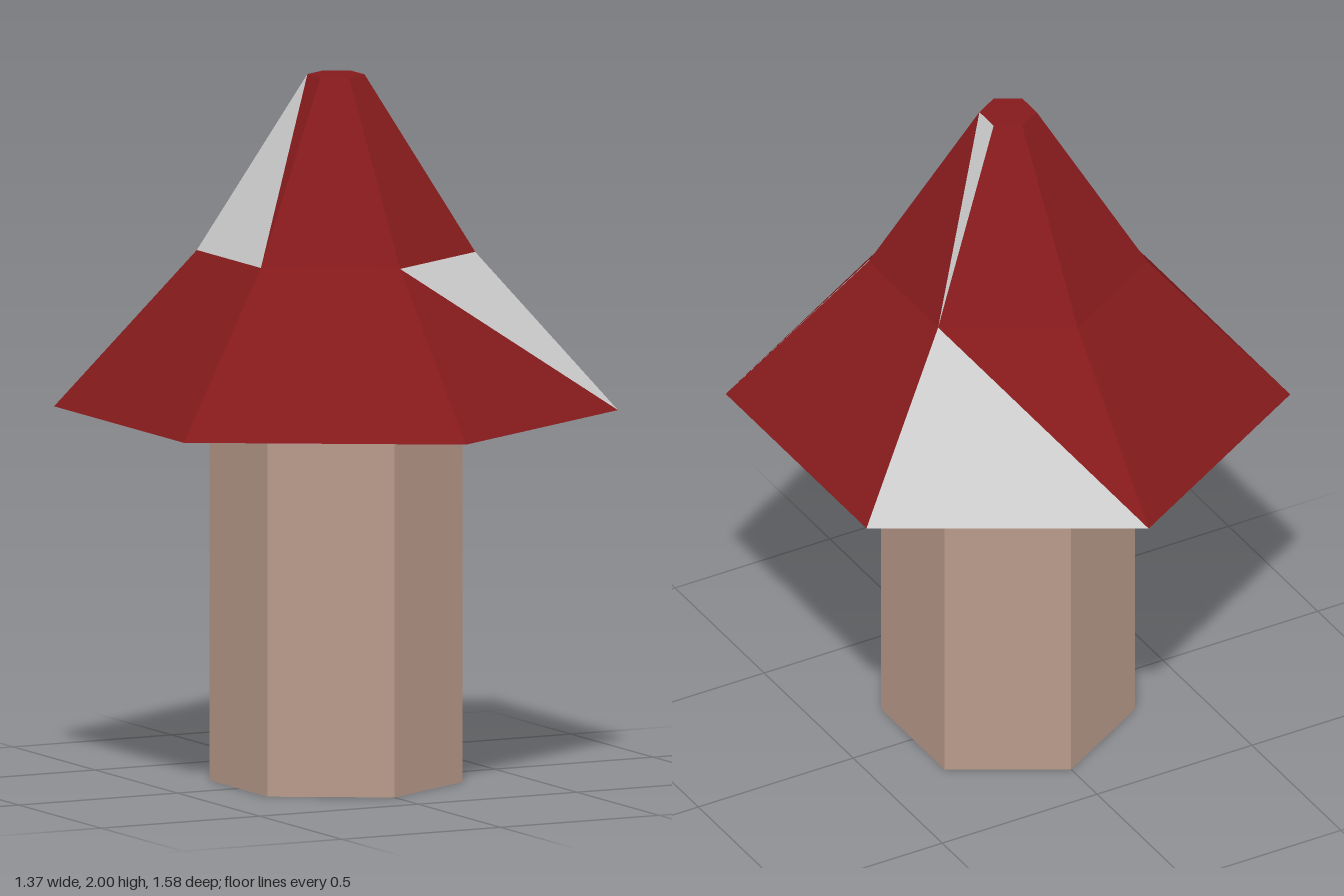
import * as THREE from 'three';

const SIDES = 6;
const material = (color) => new THREE.MeshStandardMaterial({ color, flatShading: true });

// Corner i of a horizontal hexagon, counted from +z towards +x
function corner([r, y], i) {
  const a = (i * Math.PI * 2) / SIDES;
  return new THREE.Vector3(r * Math.sin(a), y, r * Math.cos(a));
}

// Mesh from a list of triangles
function facets(name, triangles, mat) {
  const geometry = new THREE.BufferGeometry().setFromPoints(triangles.flat());
  geometry.computeVertexNormals();
  const mesh = new THREE.Mesh(geometry, mat);
  mesh.name = name;
  return mesh;
}

export function createModel() {
  const group = new THREE.Group();
  group.name = 'mushroom';
  const red = material(0x851a1c);
  const brown = material(0xb89a8a);
  const grey = material(0xcccccc);

  // Cap profile as [radius, height]: rim, shoulder, tip
  const rings = [[0.79, 1.055], [0.39, 1.5], [0.08, 2]];
  // Facet halves that are pale patches: band, side, half
  const patches = ['0 0 upper', '0 2 lower', '1 1 upper', '1 4 lower'];

  const capTriangles = [];
  const patchTriangles = [];
  for (let band = 0; band < 2; band++) {
    for (let i = 0; i < SIDES; i++) {
      const a = corner(rings[band], i), b = corner(rings[band], i + 1);
      const c = corner(rings[band + 1], i + 1), d = corner(rings[band + 1], i);
      const halves = { lower: [a, b, d], upper: [b, c, d] };
      for (const half in halves) {
        const isPatch = patches.includes(`${band} ${i} ${half}`);
        (isPatch ? patchTriangles : capTriangles).push(halves[half]);
      }
    }
  }
  // Flat tip
  for (let i = 0; i < SIDES; i++) {
    capTriangles.push([corner(rings[2], i), corner(rings[2], i + 1), new THREE.Vector3(0, 2, 0)]);
  }
  group.add(facets('cap', capTriangles, red));
  group.add(facets('capPatches', patchTriangles, grey));

  // Hollow underside, rising from the rim to the stem
  const gillTriangles = [];
  const inner = [0.355, 1.25];
  for (let i = 0; i < SIDES; i++) {
    const a = corner(rings[0], i), b = corner(rings[0], i + 1);
    const c = corner(inner, i + 1), d = corner(inner, i);
    gillTriangles.push([a, d, b], [b, d, c]);
  }
  group.add(facets('underside', gillTriangles, brown));

  // Stem
  const stem = new THREE.Mesh(new THREE.CylinderGeometry(0.355, 0.355, 1.25, SIDES), brown);
  stem.name = 'stem';
  stem.position.y = 0.625;
  group.add(stem);

  return group;
}
